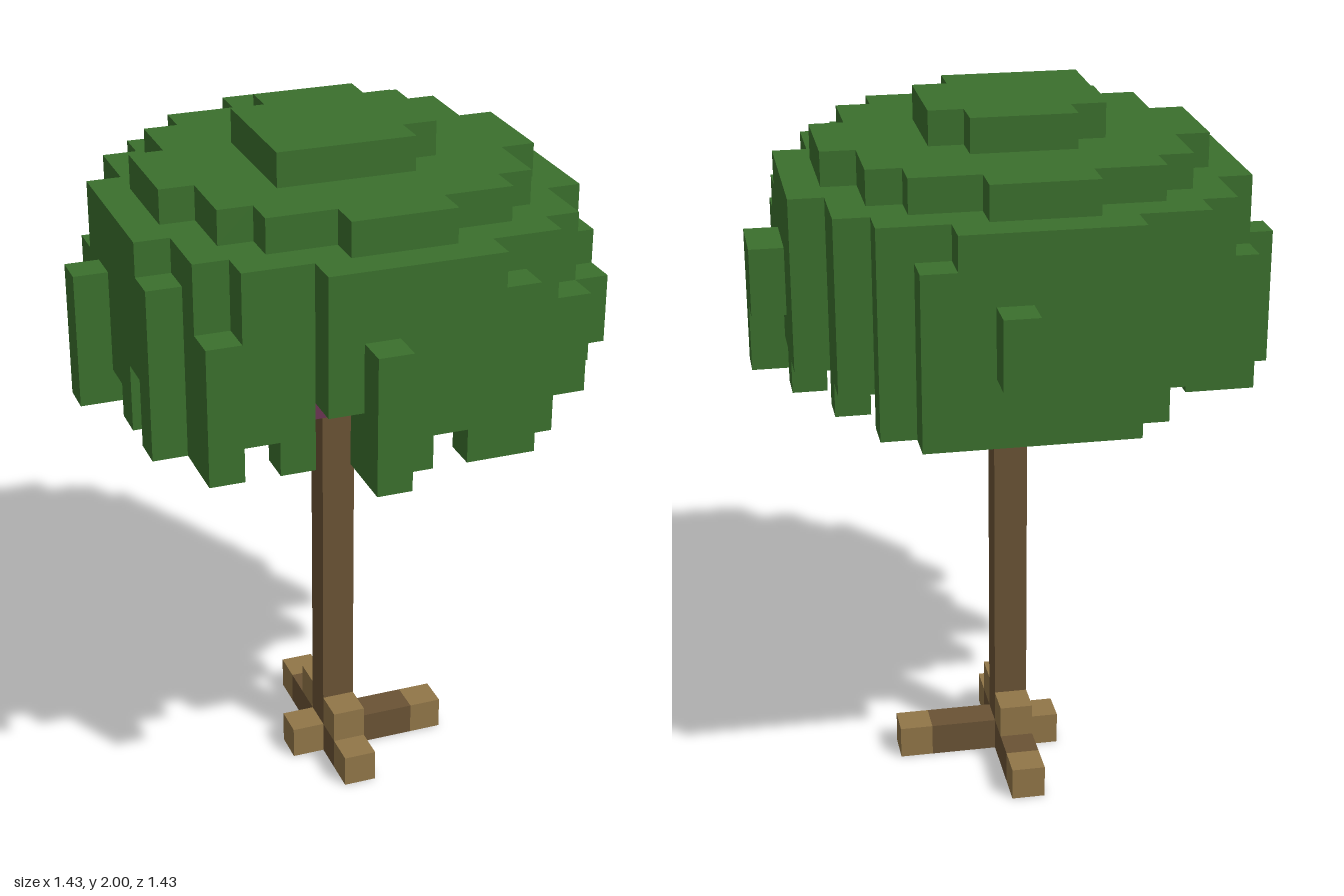
import * as THREE from 'three';
import { mergeGeometries } from 'three/addons/utils/BufferGeometryUtils.js';

const U = 2 / 21; // edge of one block

// Geometry of the exposed faces of a set of unit blocks
function blocks(cells) {
  const filled = new Set(cells.map((c) => c.join()));
  const h = Math.PI / 2;
  const sides = [
    [1, 0, 0, 0, h], [-1, 0, 0, 0, -h], [0, 1, 0, -h, 0],
    [0, -1, 0, h, 0], [0, 0, 1, 0, 0], [0, 0, -1, 0, 2 * h],
  ];
  const faces = [];
  for (const [x, y, z] of cells) {
    for (const [dx, dy, dz, rx, ry] of sides) {
      if (filled.has([x + dx, y + dy, z + dz].join())) continue;
      const face = new THREE.PlaneGeometry(U, U);
      face.rotateX(rx).rotateY(ry);
      face.translate((x + dx / 2) * U, (y + 0.5 + dy / 2) * U, (z + dz / 2) * U);
      faces.push(face);
    }
  }
  return mergeGeometries(faces);
}

// Vertical run of blocks
function column(x, z, from, to) {
  const out = [];
  for (let y = from; y <= to; y++) out.push([x, y, z]);
  return out;
}

// Half width of each canopy layer by distance from the middle row
const CROWN = [6, 6, 6, 5, 5, 4, 2];
const UPPER = [5, 5, 4, 4, 3, 1];
const inside = (rows, x, z) => Math.abs(x) <= (rows[Math.abs(z)] ?? -1);

function canopyCells() {
  const cells = [];
  // rim columns that end higher than the rest: "x,z" -> lowest block
  const raised = {
    '-2,6': 15, '1,6': 14, '-4,5': 14, '5,4': 14, '6,2': 15, '6,0': 14, '6,-2': 14,
    '5,-4': 14, '-6,2': 15, '-6,0': 14, '-6,-2': 14, '-5,-4': 14, '-4,-5': 14,
  };
  for (let x = -6; x <= 6; x++) {
    for (let z = -6; z <= 6; z++) {
      if (inside(UPPER, x, z)) cells.push([x, 19, z]);
      if (!inside(CROWN, x, z)) continue;
      const rim = [[1, 0], [-1, 0], [0, 1], [0, -1]].some(([a, b]) => !inside(CROWN, x + a, z + b));
      cells.push(...column(x, z, rim ? raised[`${x},${z}`] ?? 13 : 16, 18));
    }
  }
  // top cap
  for (let z = -2; z <= 2; z++) {
    for (let x = z === -2 ? -1 : -2; x <= (Math.abs(z) === 2 ? 1 : 2); x++) cells.push([x, 20, z]);
  }
  // hanging strands outside the rim: x, z, lowest, highest
  const strands = [
    [-1, 7, 13, 16], [1, -7, 15, 16], [-7, -1, 13, 16], [7, 0, 15, 16], [7, 1, 13, 16],
    [3, 6, 13, 17], [3, -6, 13, 17], [-6, 3, 13, 17], [6, 3, 13, 17], [6, 4, 15, 16],
    [5, 5, 15, 16], [-5, 5, 13, 16], [-6, -3, 13, 16],
  ];
  for (const s of strands) cells.push(...column(...s));
  return cells;
}

export function createModel() {
  const tree = new THREE.Group();
  tree.name = 'tree';
  const material = (name, color) => {
    const m = new THREE.MeshStandardMaterial({ color });
    m.name = name;
    return m;
  };
  const leaf = material('leaf green', 0x3b702d);
  const bark = material('bark brown', 0x6a5335);
  const cutWood = material('light wood', 0x917648);
  const plum = material('plum', 0x6b3553);

  const add = (name, cells, mat) => {
    const mesh = new THREE.Mesh(blocks(cells), mat);
    mesh.name = name;
    tree.add(mesh);
  };

  add('canopy', canopyCells(), leaf);
  add('trunk', column(0, 0, 0, 15), bark);

  // roots with light tips
  add('roots', [[1, 0, 0], [2, 0, 0], [0, 0, 1], [0, 0, -1], [0, 0, -2]], bark);
  add('rootTips', [[3, 0, 0], [-1, 0, 0], [0, 0, 2], [0, 0, -3], [0, 1, 1], [0, 1, -1]], cutWood);

  // branches below the leaf ceiling, braced at the trunk
  const branches = [];
  const braces = [];
  for (const [dx, dz] of [[1, 0], [-1, 0], [0, 1], [0, -1]]) {
    braces.push([dx, 14, dz]);
    for (let i = 1; i <= 4; i++) branches.push([dx * i, 15, dz * i]);
  }
  add('branches', branches, bark);
  add('branchBraces', braces, cutWood);

  // fruit hanging beside the branch ends
  const fruit = [[4, -1], [-1, -4], [-4, -1], [-2, 4]];
  add('fruit', fruit.flatMap(([x, z]) => column(x, z, 14, 15)), plum);
  return tree;
}
